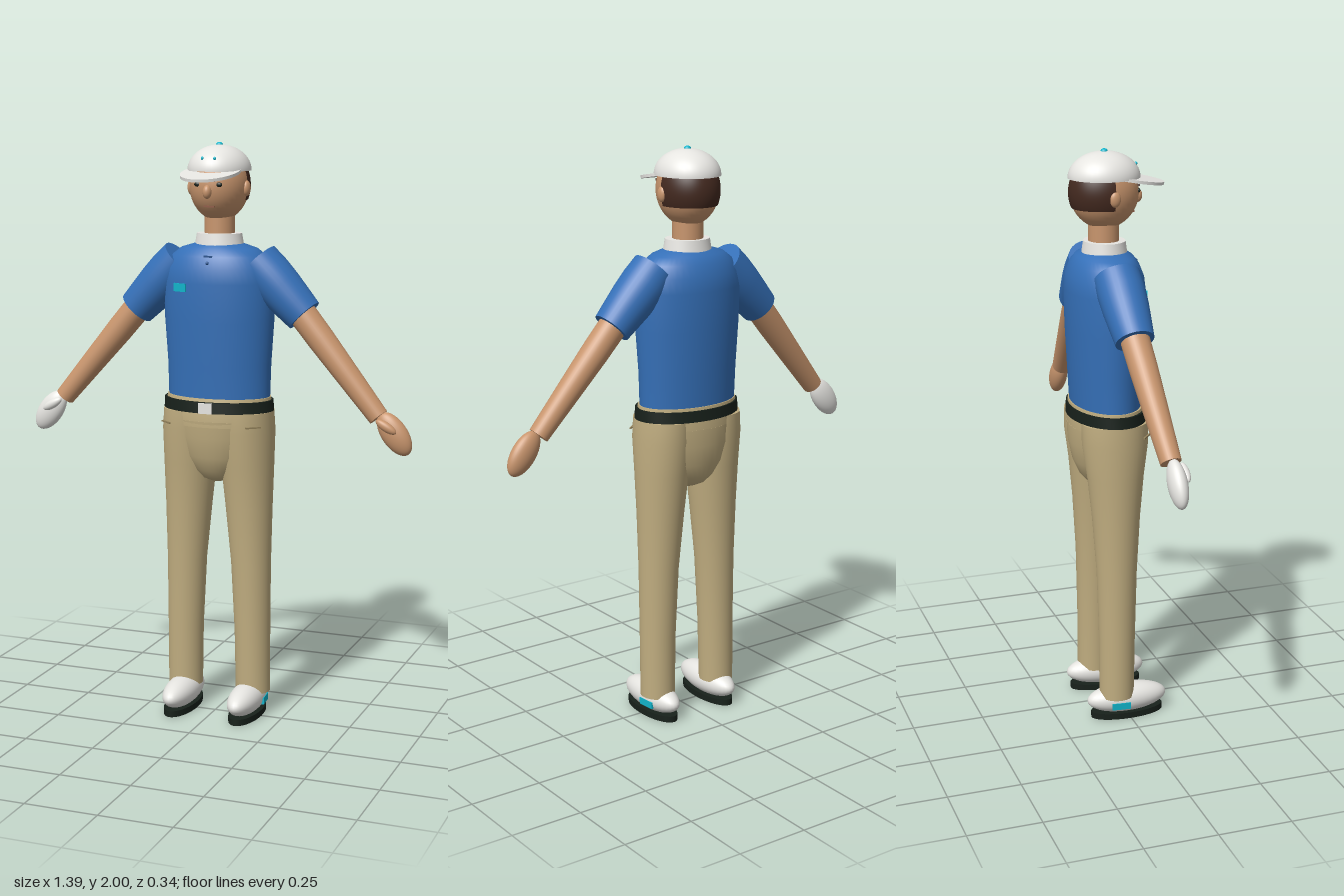
import * as THREE from 'three';

const mat = (name, color, side = THREE.FrontSide) => {
  const m = new THREE.MeshStandardMaterial({ color, side });
  m.name = name;
  return m;
};

// Stack of elliptical rings [y, rx, rz, cx, cz], closed by flat caps
function loft(sections, n = 40) {
  const first = sections[0], last = sections[sections.length - 1];
  const flat = (s) => [s[0], 0, 0, s[3], s[4]];
  const rings = [flat(first), first, ...sections, last, flat(last)];
  const pos = [], index = [];
  rings.forEach(([y, rx, rz, cx = 0, cz = 0], i) => {
    for (let j = 0; j < n; j++) {
      const a = (j / n) * Math.PI * 2;
      pos.push(cx + rx * Math.sin(a), y, cz + rz * Math.cos(a));
      if (i === rings.length - 1) continue;
      const k = (j + 1) % n, p = i * n, q = p + n;
      index.push(p + j, p + k, q + j, p + k, q + k, q + j);
    }
  });
  const g = new THREE.BufferGeometry();
  g.setAttribute('position', new THREE.Float32BufferAttribute(pos, 3));
  g.setIndex(index);
  g.computeVertexNormals();
  return g;
}

export function createModel() {
  const group = new THREE.Group();
  group.name = 'golfer';
  const skin = mat('skin', 0xc8956d);
  const blue = mat('shirt blue', 0x3570b8);
  const khaki = mat('khaki', 0xc0ad80);
  const white = mat('white', 0xe6e5e1);
  const dark = mat('black leather', 0x18211b);
  const brown = mat('hair brown', 0x43291f, THREE.DoubleSide);
  const cyan = mat('cyan accent', 0x12b5cb);
  const lip = mat('lip', 0x8f5a45);
  const navy = mat('shirt seam', 0x27528c);
  const seam = mat('trouser seam', 0x94835c);

  const add = (name, geo, material, x = 0, y = 0, z = 0) => {
    const m = new THREE.Mesh(geo, material);
    m.name = name;
    m.position.set(x, y, z);
    group.add(m);
    return m;
  };
  const ball = (name, material, x, y, z, rx, ry, rz) => {
    const m = add(name, new THREE.SphereGeometry(1, 36, 24), material, x, y, z);
    m.scale.set(rx, ry, rz);
    return m;
  };
  const box = (name, material, w, h, d, x, y, z) =>
    add(name, new THREE.BoxGeometry(w, h, d), material, x, y, z);
  // Turn a part's own y axis along a direction
  const aim = (m, dir) =>
    m.quaternion.setFromUnitVectors(new THREE.Vector3(0, 1, 0), dir.clone().normalize());
  // Tapered limb from a to b through [t, radius] pairs
  const limb = (name, material, a, b, radii) => {
    const dir = b.clone().sub(a), len = dir.length();
    const m = add(name, loft(radii.map(([t, r]) => [t * len, r, r, 0, 0]), 32), material, a.x, a.y, a.z);
    aim(m, dir);
    return m;
  };

  // Head and face
  ball('head', skin, 0, 1.857, -0.04, 0.1, 0.122, 0.117);
  add('neck', new THREE.CylinderGeometry(0.052, 0.052, 0.14, 32), skin, 0, 1.71, -0.042);
  const hair = add('hair', new THREE.SphereGeometry(1, 40, 24, Math.PI - 0.06, Math.PI + 0.12, 0.7, 1.28), brown, 0, 1.857, -0.04);
  hair.scale.set(0.104, 0.125, 0.121);
  ball('nose', skin, 0, 1.838, 0.076, 0.015, 0.023, 0.017);
  box('mouth', lip, 0.036, 0.005, 0.008, 0, 1.789, 0.057);
  for (const s of [-1, 1]) {
    ball('ear', skin, s * 0.1, 1.847, -0.035, 0.013, 0.026, 0.019);
    ball('eye', dark, s * 0.038, 1.862, 0.066, 0.012, 0.008, 0.006);
    const brow = box('eyebrow', brown, 0.034, 0.007, 0.008, s * 0.039, 1.879, 0.067);
    brow.rotation.set(0, s * 0.35, s * 0.2);
  }

  // Cap
  const crown = add('cap crown', new THREE.SphereGeometry(1, 40, 20, 0, Math.PI * 2, 0, Math.PI / 2),
    mat('white', 0xe6e5e1, THREE.DoubleSide), 0, 1.905, -0.04);
  crown.material = white;
  crown.scale.set(0.107, 0.087, 0.122);
  const brim = add('cap brim', new THREE.CylinderGeometry(1, 1, 1, 48), white, 0, 1.9, 0.045);
  brim.scale.set(0.099, 0.01, 0.123);
  brim.rotation.x = 0.18;
  ball('cap button', cyan, 0, 1.991, -0.04, 0.012, 0.009, 0.012);
  for (const s of [-1, 1]) ball('cap badge', cyan, s * 0.022, 1.948, 0.063, 0.005, 0.006, 0.005);

  // Shirt
  add('shirt body', loft([
    [1.125, 0.182, 0.114, 0, -0.04], [1.25, 0.185, 0.12, 0, -0.041],
    [1.4, 0.195, 0.128, 0, -0.04], [1.53, 0.199, 0.131, 0, -0.04],
    [1.58, 0.19, 0.125, 0, -0.04], [1.62, 0.168, 0.11, 0, -0.04],
    [1.645, 0.135, 0.093, 0, -0.04], [1.66, 0.085, 0.07, 0, -0.04],
  ], 48), blue);
  add('collar', loft([[1.648, 0.086, 0.077, 0, -0.04], [1.695, 0.078, 0.07, 0, -0.04]]), white);
  box('placket top', navy, 0.03, 0.006, 0.008, 0, 1.622, 0.068);
  ball('shirt button', navy, 0, 1.6, 0.077, 0.006, 0.006, 0.005);
  box('chest badge', cyan, 0.052, 0.028, 0.009, -0.1, 1.515, 0.073).rotation.y = -0.36;

  // Sleeves, arms and hands; the right hand wears a glove
  for (const s of [-1, 1]) {
    const v = (x, y, z) => new THREE.Vector3(s * x, y, z);
    const hand = s < 0 ? white : skin, word = s < 0 ? 'gloved ' : '';
    limb('sleeve', blue, v(0.137, 1.6, -0.042), v(0.307, 1.425, -0.039),
      [[0, 0.078], [0.25, 0.08], [0.5, 0.077], [0.8, 0.07], [1, 0.065]]);
    limb('arm', skin, v(0.28, 1.455, -0.039), v(0.58, 1.098, -0.014),
      [[0, 0.049], [0.3, 0.047], [0.6, 0.042], [1, 0.035]]);
    aim(ball(word + 'hand', hand, s * 0.636, 1.045, -0.012, 0.045, 0.083, 0.031), v(-0.55, 0.75, 0));
    aim(ball(word + 'thumb', hand, s * 0.615, 1.073, 0.02, 0.016, 0.04, 0.015), v(-0.85, 0.5, 0));
  }

  // Trousers
  add('waistband', loft([[1.04, 0.185, 0.128, 0, -0.036], [1.09, 0.192, 0.129, 0, -0.036],
    [1.138, 0.186, 0.121, 0, -0.038]]), khaki);
  add('seat', loft([
    [0.836, 0.03, 0.035, 0, -0.038], [0.85, 0.065, 0.065, 0, -0.038],
    [0.88, 0.1, 0.091, 0, -0.038], [0.93, 0.138, 0.113, 0, -0.038],
    [1, 0.172, 0.126, 0, -0.038], [1.06, 0.187, 0.129, 0, -0.036],
  ]), khaki);
  add('belt', loft([[1.09, 0.197, 0.132, 0, -0.036], [1.128, 0.195, 0.13, 0, -0.036]], 48), dark);
  box('belt buckle', white, 0.048, 0.036, 0.012, 0, 1.108, 0.095);
  for (const s of [-1, 1]) {
    add('trouser leg', loft([
      [0.08, 0.061, 0.061, s * 0.128, -0.04], [0.3, 0.063, 0.063, s * 0.126, -0.038],
      [0.55, 0.07, 0.07, s * 0.12, -0.037], [0.75, 0.082, 0.083, s * 0.112, -0.037],
      [0.9, 0.092, 0.098, s * 0.106, -0.037], [1.02, 0.098, 0.115, s * 0.102, -0.037],
      [1.09, 0.095, 0.115, s * 0.1, -0.037],
    ]), khaki);
    const pocket = box('pocket seam', seam, 0.055, 0.005, 0.006, s * 0.16, 1.045, 0.058);
    pocket.rotation.y = s * 0.7;

    // Shoes
    ball('shoe', white, s * 0.122, 0.063, 0, 0.056, 0.052, 0.146);
    const sole = add('shoe sole', new THREE.CylinderGeometry(1, 1, 0.022, 40), dark, s * 0.122, 0.011, 0);
    sole.scale.set(0.053, 1, 0.132);
    box('shoe badge', cyan, 0.009, 0.024, 0.065, s * 0.174, 0.052, -0.037).rotation.y = s * 0.1;
  }
  return group;
}
